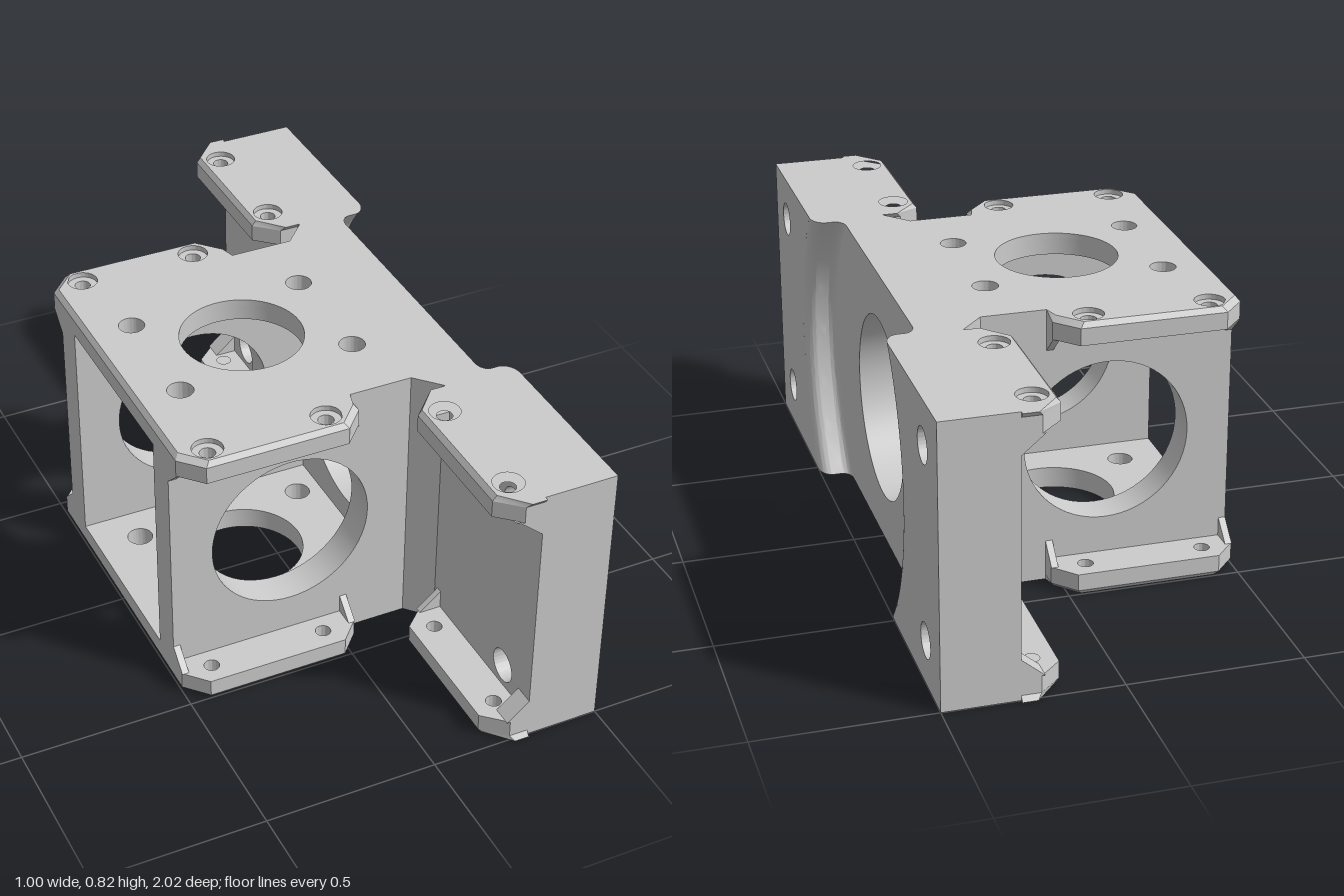
import * as THREE from 'three';
import { toCreasedNormals } from 'three/addons/utils/BufferGeometryUtils.js';

const MID = 0.41;      // half height
const INNER = 0.345;   // inner face of top and bottom plates
const BORE = 0.395;    // floor of the screw counterbores
const material = new THREE.MeshStandardMaterial({ color: 0xcccccc });

function shapeOf(points, holes = []) {
  const shape = new THREE.Shape(points.map(([a, b]) => new THREE.Vector2(a, b)));
  return punch(shape, holes);
}

// holes are [a, b, radius]
function punch(shape, holes) {
  for (const [a, b, r] of holes) {
    const path = new THREE.Path();
    path.absarc(a, b, r, 0, Math.PI * 2, true);
    shape.holes.push(path);
  }
  return shape;
}

const rect = (a0, a1, b0, b1) => [[a0, b0], [a1, b0], [a1, b1], [a0, b1]];

// Extrude a shape along an axis from one coordinate to another.
// x: shape is (-z, y)   y: shape is (x, -z)   z: shape is (x, y)
function extrude(shape, axis, from, to, steps = 1) {
  const g = new THREE.ExtrudeGeometry(shape, {
    depth: to - from, steps, bevelEnabled: false, curveSegments: 32,
  });
  g.translate(0, 0, from);
  if (axis === 'x') g.rotateY(Math.PI / 2);
  if (axis === 'y') g.rotateX(-Math.PI / 2);
  return g;
}

// Move vertices in place: rule(vector) edits the vector
function reshape(g, rule) {
  const p = g.attributes.position;
  const v = new THREE.Vector3();
  for (let i = 0; i < p.count; i++) {
    rule(v.fromBufferAttribute(p, i));
    p.setXYZ(i, v.x, v.y, v.z);
  }
  return g;
}

function add(parent, name, geometry) {
  const mesh = new THREE.Mesh(toCreasedNormals(geometry, 0.5), material);
  mesh.name = name;
  parent.add(mesh);
}

// Plate in two layers: small screw holes below, wide counterbores and a chamfered rim above
function addPlate(parent, name, outline, screws, holes, inset) {
  const bores = (r) => [...holes, ...screws.map(([x, b]) => [x, b, r])];
  add(parent, name, extrude(shapeOf(outline, bores(0.022)), 'y', INNER, BORE));
  const rim = extrude(shapeOf(outline, bores(0.043)), 'y', BORE, MID);
  reshape(rim, (v) => {
    const onRim = outline.some(([x, b]) => Math.hypot(v.x - x, v.z + b) < 1e-4);
    if (v.y > MID - 1e-4 && onRim) inset(v);
  });
  add(parent, name + 'Rim', rim);
}

function createHalf() {
  const half = new THREE.Group();
  const C = 0.012;

  // Top plate of the box, with its neck to the front slab
  const side = [[0.285, 0.455], [0.22, 0.385], [0.035, 0.385], [0.035, 0.44],
    [-0.025, 0.505], [-0.44, 0.505], [-0.5, 0.44]];
  const outline = [...side, ...side.map(([x, b]) => [x, -b]).reverse()];
  const screws = [];
  const holes = [[-0.11, 0, 0.175]];
  for (const s of [1, -1]) {
    screws.push([-0.41, s * 0.443], [-0.065, s * 0.443]);
    holes.push([-0.37, s * 0.172, 0.037], [0.147, s * 0.172, 0.037]);
  }
  addPlate(half, 'boxPlate', outline, screws, holes, (v) => {
    if (Math.abs(v.z) < 0.42 || v.x > 0.2) return;
    v.x -= C * Math.sign(v.x + 0.23);
    v.z -= C * Math.sign(v.z);
  });

  for (const s of [1, -1]) {
    // Flange along each wing
    const flange = [[0.285, 1], [0.23, 1], [0.165, 0.94], [0.165, 0.53], [0.23, 0.47], [0.285, 0.47]]
      .map(([x, z]) => [x, s * z]);
    addPlate(half, 'wingFlange', flange, [[0.23, s * 0.56], [0.23, s * 0.905]], [], (v) => {
      if (v.x < 0.28) v.x += C;
      const z = Math.abs(v.z);
      if (z > 0.95 || z < 0.5) v.z -= s * C * Math.sign(z - 0.735);
    });

    // Triangular gussets under the wing flange
    const brace = shapeOf([[0.285, INNER], [0.22, INNER], [0.285, 0.29]]);
    for (const [a, b] of [[0.94, 1], [0.47, 0.49]]) {
      add(half, 'wingGusset', extrude(brace, 'z', Math.min(s * a, s * b), Math.max(s * a, s * b)));
    }

    // Thin gussets under the box plate
    const rib = shapeOf([[s * 0.385, INNER], [s * 0.445, INNER], [s * 0.385, 0.29]]);
    for (const x of [-0.5, 0.015]) add(half, 'boxGusset', extrude(rib, 'x', x, x + 0.02));
  }

  // Side wall of the box with a large round window
  add(half, 'sideWall', extrude(
    shapeOf(rect(-0.5, 0.22, -INNER, INNER), [[-0.14, 0, 0.237]]), 'z', -0.385, -0.285));

  // Raised pad on the wing, ending in an arc around the centre bore
  const R = 0.64;
  const th = Math.asin(MID / R);
  const pad = new THREE.Shape();
  pad.moveTo(1, -MID);
  pad.lineTo(1, MID);
  pad.absarc(0, 0, R, th, -th, true);
  pad.closePath();
  punch(pad, [[0.85, 0.28, 0.05], [0.85, -0.28, 0.05]]);
  add(half, 'wingPad', extrude(pad, 'x', 0.41, 0.5));

  // Rounded lip of the pad: section in (x, radius), bent round the bore axis
  const lip = new THREE.Shape();
  lip.moveTo(0.41, 0.57);
  lip.absarc(0.44, 0.57, 0.03, Math.PI, Math.PI / 2, true);
  lip.absarc(0.46, 0.64, 0.04, -Math.PI / 2, 0, false);
  lip.lineTo(0.41, R);
  lip.closePath();
  add(half, 'padLip', reshape(extrude(lip, 'y', -MID, MID, 32), (v) => {
    v.z = -Math.sqrt(v.z * v.z - v.y * v.y);
  }));
  return half;
}

export function createModel() {
  const model = new THREE.Group();
  model.name = 'mountingBracket';
  const body = new THREE.Group();
  body.name = 'body';
  body.position.y = MID;
  model.add(body);

  // Front slab spanning both wings
  const bolts = [];
  for (const a of [-0.85, 0.85]) for (const y of [-0.28, 0.28]) bolts.push([a, y, 0.05]);
  add(body, 'frontSlab', extrude(
    shapeOf(rect(-1, 1, -MID, MID), [[0, 0, 0.27], ...bolts]), 'x', 0.285, 0.41));

  // Thick hub behind the slab, flaring out to meet it
  const hub = extrude(shapeOf(rect(-0.385, 0.385, -INNER, INNER), [[0, 0, 0.27]]), 'x', 0.22, 0.285);
  add(body, 'hub', reshape(hub, (v) => {
    if (v.x > 0.28 && Math.abs(v.z) > 0.3) v.z = 0.455 * Math.sign(v.z);
  }));

  // The rest repeats under a half turn about the bore axis
  const upper = createHalf();
  upper.name = 'upperHalf';
  const lower = upper.clone();
  lower.name = 'lowerHalf';
  lower.rotation.x = Math.PI;
  body.add(upper, lower);
  return model;
}
